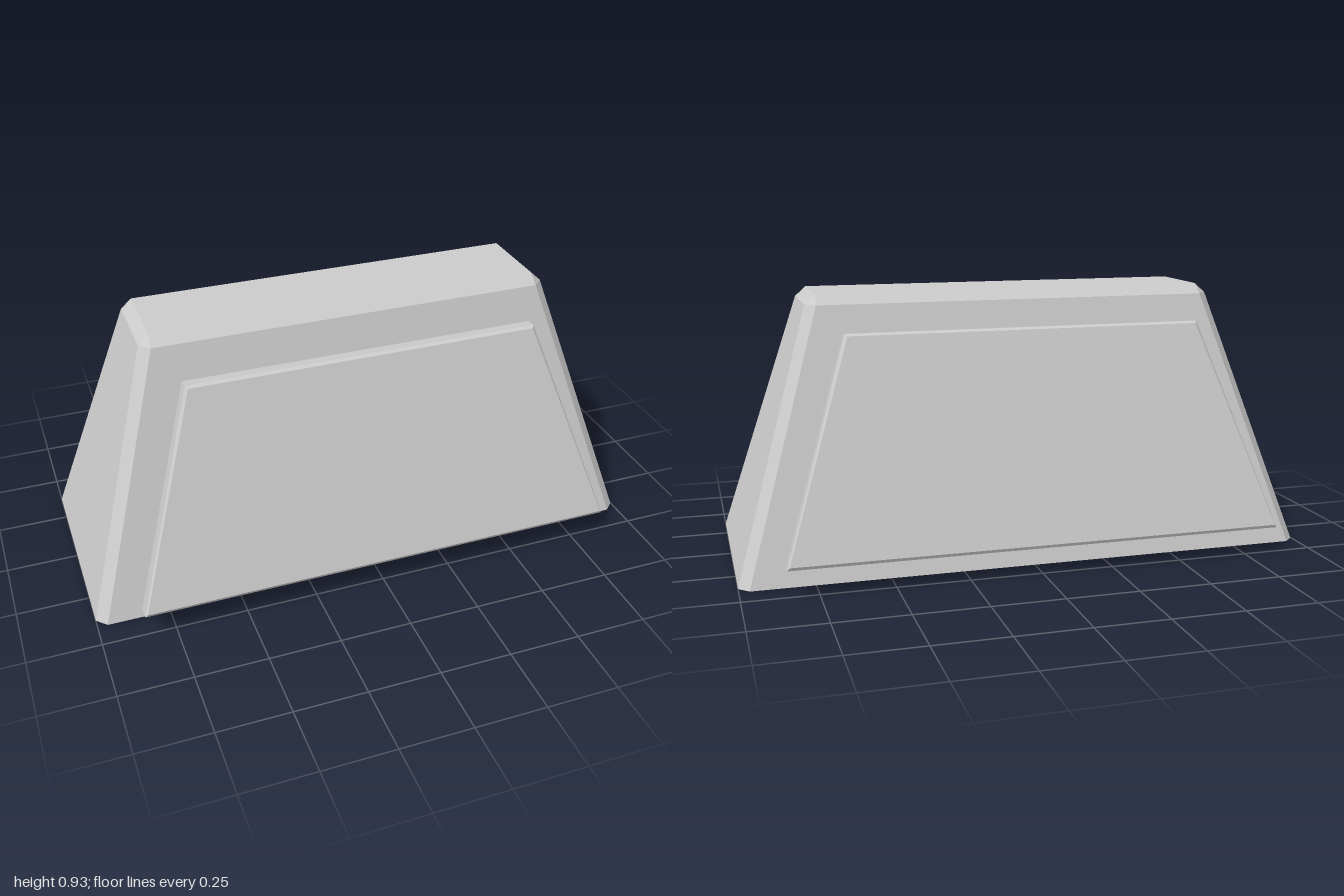
import * as THREE from 'three';
import { toCreasedNormals } from 'three/addons/utils/BufferGeometryUtils.js';
import { ConvexGeometry } from 'three/addons/geometries/ConvexGeometry.js';

const solid = new THREE.MeshStandardMaterial({ color: 0xcccccc });
const shell = new THREE.MeshStandardMaterial({ color: 0xcccccc, side: THREE.DoubleSide });

function addMesh(parent, name, geometry, material) {
  const mesh = new THREE.Mesh(geometry, material);
  mesh.name = name;
  parent.add(mesh);
  return mesh;
}

// Eight corners of a rectangle of half sizes x, z with cut corners, counter-clockwise from above
function cutRectangle(x, z, cut, y) {
  return [
    [x, z - cut], [x, cut - z], [x - cut, -z], [cut - x, -z],
    [-x, cut - z], [-x, z - cut], [cut - x, z], [x - cut, z],
  ].map(([px, pz]) => [px, y, pz]);
}

// Tapered hollow shell, open below, with chamfered upright corners and top edges
function bodyGeometry() {
  const rings = [
    cutRectangle(1, 0.41, 0.035, 0),
    cutRectangle(0.73, 0.175, 0.035, 0.892),
    cutRectangle(0.693, 0.138, 0, 0.926),
    cutRectangle(0, 0, 0, 0.926),
  ];
  const positions = [];
  for (let r = 0; r < rings.length - 1; r++)
    for (let i = 0; i < 8; i++) {
      const j = (i + 1) % 8;
      const [a, b, c, d] = [rings[r][i], rings[r][j], rings[r + 1][j], rings[r + 1][i]];
      positions.push(...a, ...b, ...c, ...a, ...c, ...d);
    }
  const geometry = new THREE.BufferGeometry();
  geometry.setAttribute('position', new THREE.Float32BufferAttribute(positions, 3));
  geometry.computeVertexNormals();
  return geometry;
}

// Leaning trapezoid plate with bevelled rims
function panelGeometry() {
  // Layers from the outer face to the inner one: bottom z, bottom y, top z, top y, inset
  const layers = [
    [0.534, 0.109, 0.321, 0.805, 0.008],
    [0.529, 0.098, 0.31, 0.812, 0],
    [0.477, 0.091, 0.27, 0.807, 0],
    [0.466, 0.103, 0.264, 0.796, 0.008],
  ];
  const points = [];
  for (const [zb, yb, zt, yt, inset] of layers)
    for (const s of [-1, 1]) {
      points.push(new THREE.Vector3(s * (0.854 - inset), yb, zb));
      points.push(new THREE.Vector3(s * (0.622 - inset), yt, zt));
    }
  return new ConvexGeometry(points);
}

// Round stand-off with a chamfered outer end, lying along z
function standoffGeometry() {
  const r = 0.108, c = 0.018;
  const profile = [[0, 0.2], [r, 0.2], [r, 0.33 - c], [r - c, 0.33], [0, 0.33]]
    .map(([x, y]) => new THREE.Vector2(x, y));
  const geometry = new THREE.LatheGeometry(profile, 48).rotateX(Math.PI / 2);
  return toCreasedNormals(geometry, 0.5);
}

export function createModel() {
  const model = new THREE.Group();
  model.name = 'panelledBlock';
  addMesh(model, 'body', bodyGeometry(), shell);

  // Same panel and stand-offs on the front and the back
  const panel = panelGeometry();
  const standoff = standoffGeometry();
  ['front', 'back'].forEach((name, i) => {
    const side = new THREE.Group();
    side.name = name + 'Side';
    side.rotation.y = i * Math.PI;
    addMesh(side, name + 'Panel', panel, solid);
    for (const x of [-0.343, 0.343])
      addMesh(side, name + 'Standoff', standoff, solid).position.set(x, 0.638, 0);
    model.add(side);
  });
  return model;
}
